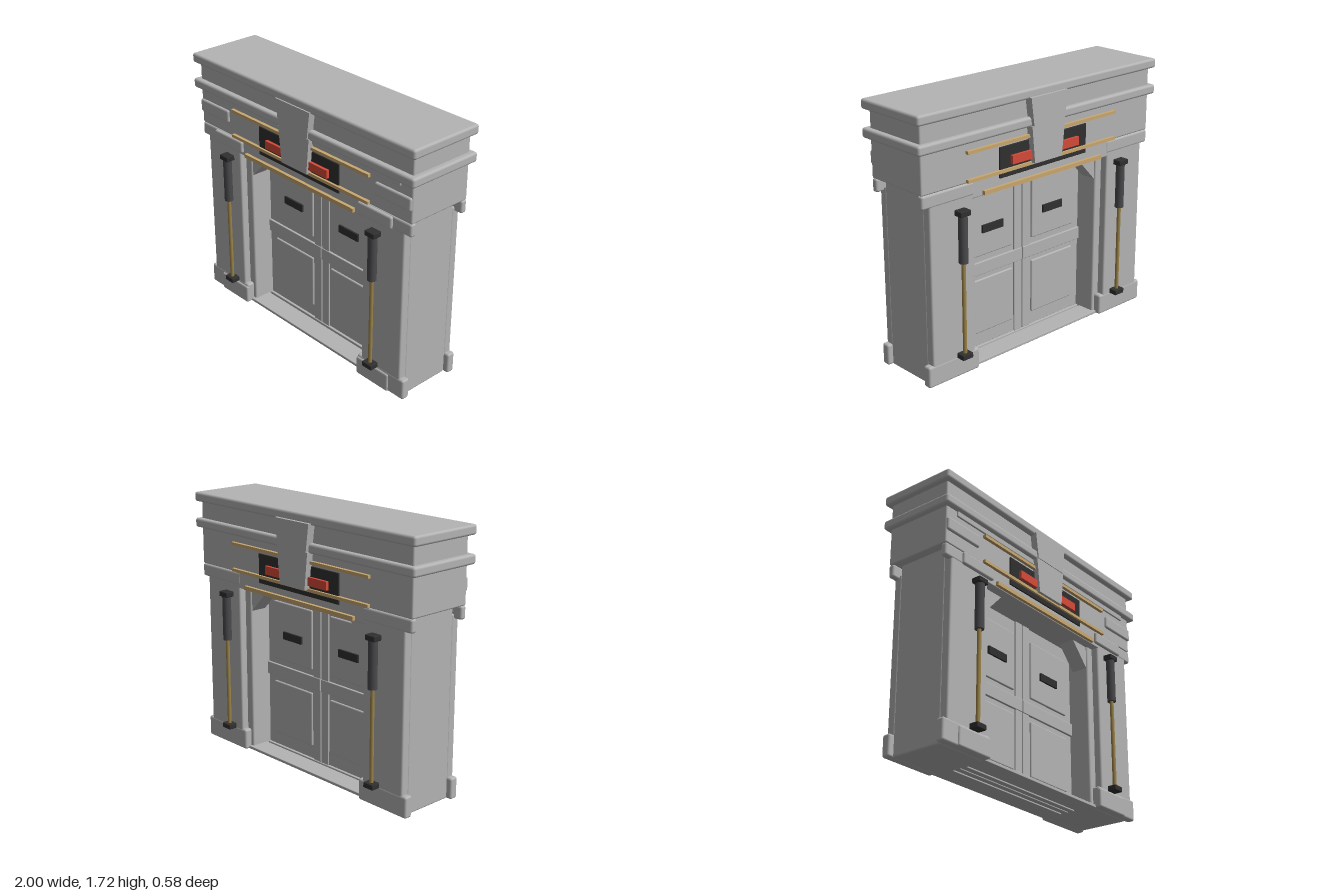
import * as THREE from 'three';
import { RoundedBoxGeometry } from 'three/addons/geometries/RoundedBoxGeometry.js';

const mat = (name, color, side = THREE.FrontSide) => {
  const m = new THREE.MeshStandardMaterial({ color, side });
  m.name = name;
  return m;
};

export function createModel() {
  const stone = mat('stone', 0xb4b4b4);
  const black = mat('black metal', 0x303030);
  const darkGrey = mat('dark grey metal', 0x4a4a4d);
  const brass = mat('brass', 0x9c8349);
  const trim = mat('gold trim', 0xc9a871);
  const red = mat('red glass', 0xd64a38);

  const root = new THREE.Group();
  root.name = 'portal';

  const add = (name, geometry, material, parent = root) => {
    const mesh = new THREE.Mesh(geometry, material);
    mesh.name = name;
    parent.add(mesh);
    return mesh;
  };
  // Box given by its limits; r > 0 rounds the edges
  const box = (name, x0, x1, y0, y1, z0, z1, material = stone, r = 0.01, parent = root) => {
    const w = Math.abs(x1 - x0), h = y1 - y0, d = Math.abs(z1 - z0);
    const g = r > 0
      ? new RoundedBoxGeometry(w, h, d, 2, Math.min(r, w * 0.45, h * 0.45, d * 0.45))
      : new THREE.BoxGeometry(w, h, d);
    const mesh = add(name, g, material, parent);
    mesh.position.set((x0 + x1) / 2, (y0 + y1) / 2, (z0 + z1) / 2);
    return mesh;
  };
  // Flat outline extruded between two depths
  const plate = (name, points, z0, z1) => {
    const shape = new THREE.Shape(points.map(([x, y]) => new THREE.Vector2(x, y)));
    const g = new THREE.ExtrudeGeometry(shape, { depth: z1 - z0, bevelEnabled: false });
    g.translate(0, 0, z0);
    return add(name, g, stone);
  };

  // Entablature: lintel, frieze, cornice and cap
  box('lintel', -0.62, 0.62, 1.13, 1.26, -0.23, 0.23, stone, 0.006);
  box('lowerFrieze', -0.965, 0.965, 1.235, 1.5, -0.23, 0.23);
  box('cornice', -1, 1, 1.483, 1.545, -0.262, 0.267, stone, 0.016);
  box('upperFrieze', -0.965, 0.965, 1.53, 1.67, -0.23, 0.23);
  box('cap', -1, 1, 1.657, 1.72, -0.262, 0.267, stone, 0.016);
  box('frontMoulding', -0.875, 0.875, 1.448, 1.49, 0.2, 0.24, stone, 0.006);

  // Threshold of slats with narrow grooves between them
  box('sillFront', -0.56, 0.56, 0, 0.02, 0.06, 0.2, stone, 0.004);
  box('sillBack', -0.56, 0.56, 0, 0.02, -0.2, -0.06, stone, 0.004);
  for (const z of [-0.025, 0.025]) {
    box('sillSlat', -0.56, 0.56, 0, 0.02, z - 0.02, z + 0.02, stone, 0.004);
  }

  for (const s of [-1, 1]) {
    // Pillars
    box('pillarCore', s * 0.525, s * 0.91, 0, 1.25, -0.18, 0.18, stone, 0.012);
    for (const f of [-1, 1]) {
      box('pillarFace', s * 0.58, s * 0.91, 0.12, 1.18, f * 0.17, f * 0.23, stone, 0.012);
      box('plinth', s * 0.545, s * 0.945, 0, 0.14, f * 0.175, f * 0.232, stone, 0.014);
      box('capital', s * 0.57, s * 0.965, 1.15, 1.235, f * 0.19, f * 0.233, stone, 0.014);
    }
    box('plinthBlock', s * 0.545, s * 0.82, 0, 0.125, 0.18, 0.243, stone, 0.012);
    box('capitalBlock', s * 0.54, s * 0.82, 1.15, 1.23, 0.19, 0.25, stone, 0.012);
    box('friezeBlock', s * 0.675, s * 0.962, 1.32, 1.405, 0.2, 0.246, stone, 0.012);

    // Door leaf
    box('doorLeaf', s * 0.003, s * 0.525, 0.02, 1.14, -0.03, 0.03, stone, 0.003);

    for (const f of [-1, 1]) {
      const zs = (a, b) => [Math.min(f * a, f * b), Math.max(f * a, f * b)];
      const [b0, b1] = zs(0.06, 0.17);
      // Diagonal bracket in the upper corner of the opening
      plate('cornerBracket', [[s * 0.53, 0.97], [s * 0.53, 1.14], [s * 0.37, 1.14]], b0, b1);

      // Door framing, panels and handle
      box('doorRail', s * 0.003, s * 0.525, 0.515, 0.6, f * 0.02, f * 0.045, stone, 0.004);
      box('doorStile', s * 0.003, s * 0.07, 0.02, 1.135, f * 0.02, f * 0.04, stone, 0.004);
      for (const [y0, y1] of [[0.11, 0.48], [0.64, 1.04]]) {
        box('doorPanel', s * 0.085, s * 0.46, y0, y1, f * 0.02, f * 0.042, stone, 0.008);
      }
      box('doorHandle', s * 0.175, s * 0.35, 0.795, 0.846, f * 0.03, f * 0.055, black, 0);

      // Red lamp beside the keystone
      box('redLamp', s * 0.12, s * 0.285, 1.28, 1.335, f * 0.23, f * 0.258, red, 0);

      // Torch standing before the pillar
      const torch = new THREE.Group();
      torch.name = 'torch';
      torch.position.set(s * 0.685, 0, f * 0.258);
      root.add(torch);
      box('torchFoot', -0.04, 0.04, 0.13, 0.165, -0.032, 0.032, black, 0.006, torch);
      box('torchCap', -0.04, 0.04, 1.06, 1.095, -0.032, 0.032, black, 0.006, torch);
      add('torchRod', new THREE.CylinderGeometry(0.013, 0.013, 0.62, 12), brass, torch).position.y = 0.46;
      add('torchBody', new THREE.CylinderGeometry(0.029, 0.029, 0.31, 16), darkGrey, torch).position.y = 0.915;
    }
  }

  for (const f of [-1, 1]) {
    // Sign plate and gold rods
    box('signPlate', -0.37, 0.37, 1.205, 1.4, f * 0.2, f * 0.238, black, 0.004);
    for (const [y, half, h] of [[1.425, 0.63, 0.01], [1.25, 0.63, 0.01], [1.15, 0.505, 0.013]]) {
      box('goldRod', -half, half, y - h, y + h, f * 0.225, f * 0.252, trim, 0);
    }
  }

  // Keystone through the whole depth, in two tapering stages
  plate('keystoneUpper', [[-0.13, 1.49], [0.13, 1.49], [0.155, 1.67], [-0.155, 1.67]], -0.283, 0.276);
  plate('keystoneLower', [[-0.112, 1.252], [0.118, 1.252], [0.142, 1.49], [-0.138, 1.49]], -0.278, 0.271);

  return root;
}
